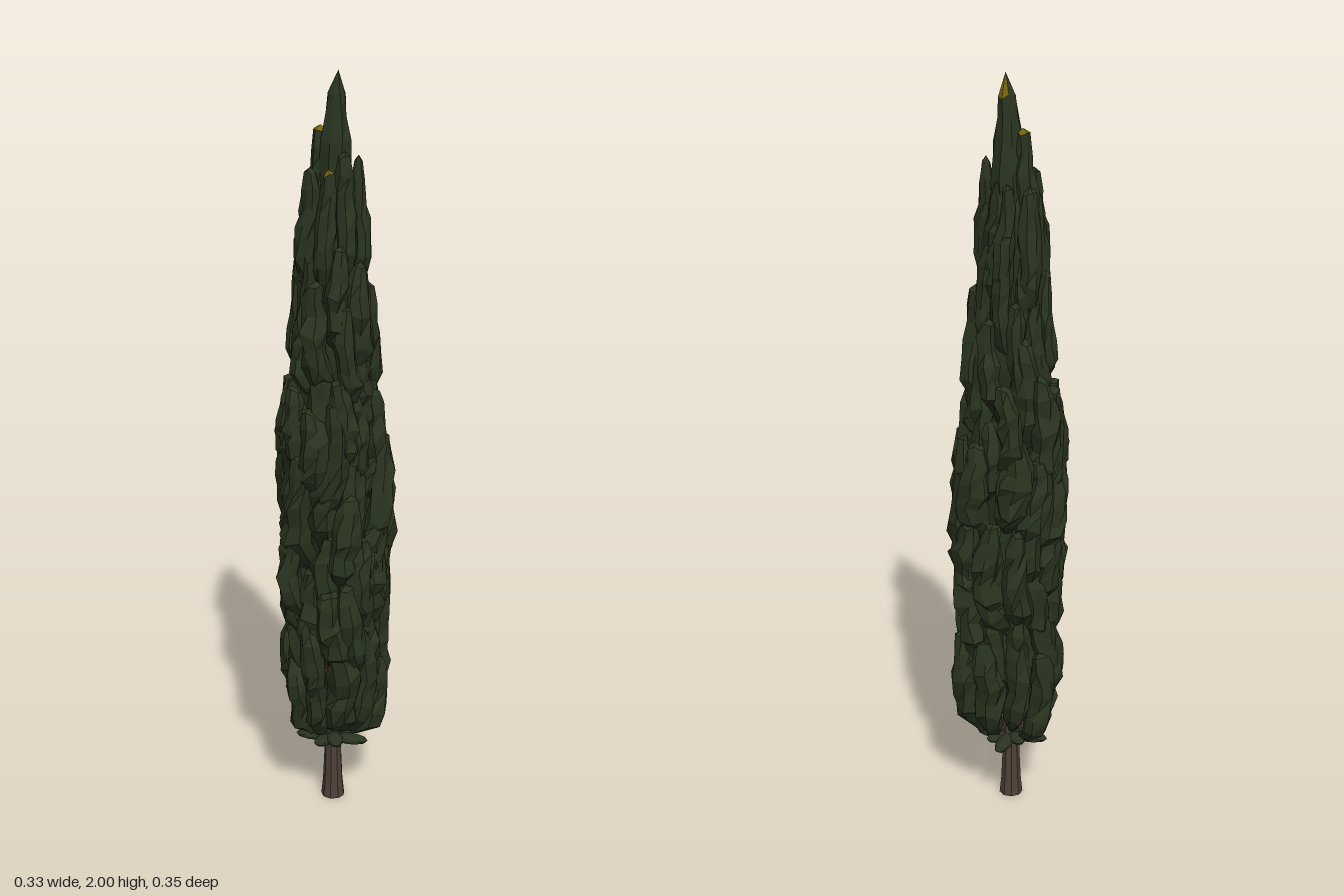
import * as THREE from 'three';
import { mergeGeometries } from 'three/addons/utils/BufferGeometryUtils.js';

// Small seeded generator
let seed = 7;
function rand(a = 0, b = 1) {
  seed = (seed * 16807) % 2147483647;
  return a + (b - a) * (seed / 2147483647);
}

// Crown outline: [height, radius]
const OUTLINE = [[0.18, 0.09], [0.24, 0.12], [0.3, 0.132], [0.4, 0.144], [0.7, 0.149], [0.9, 0.142],
  [1.2, 0.123], [1.4, 0.103], [1.55, 0.086], [1.7, 0.06], [1.8, 0.043], [1.88, 0.03], [2, 0.005]];
function crownRadius(y) {
  for (let i = 1; i < OUTLINE.length; i++) {
    const [y0, r0] = OUTLINE[i - 1], [y1, r1] = OUTLINE[i];
    if (y <= y1) return THREE.MathUtils.lerp(r0, r1, Math.max(0, (y - y0) / (y1 - y0)));
  }
  return 0.005;
}

// Faceted closed body through a list of [center, radius] rings, with pointed ends.
// Group 0 is the body, group 1 the last tipFacets facets at the tip.
function clump(rings, start, end, sides, jitter, tipFacets = sides) {
  const pos = [...start.toArray()], idx = [];
  for (const [c, r] of rings) {
    const twist = rand(0, 0.5);
    for (let j = 0; j < sides; j++) {
      const a = ((j + twist) / sides) * Math.PI * 2;
      const k = r * rand(1 - jitter, 1 + jitter);
      pos.push(c.x + Math.cos(a) * k, c.y + rand(-0.3, 0.3) * r, c.z + Math.sin(a) * k);
    }
  }
  pos.push(...end.toArray());
  const last = pos.length / 3 - 1;
  const at = (i, j) => 1 + i * sides + (j % sides);
  for (let j = 0; j < sides; j++) idx.push(0, at(0, j), at(0, j + 1));
  for (let i = 0; i < rings.length - 1; i++) {
    for (let j = 0; j < sides; j++) {
      idx.push(at(i, j), at(i + 1, j), at(i, j + 1), at(i, j + 1), at(i + 1, j), at(i + 1, j + 1));
    }
  }
  for (let j = 0; j < sides; j++) idx.push(at(rings.length - 1, j), last, at(rings.length - 1, j + 1));
  const g = new THREE.BufferGeometry();
  g.setAttribute('position', new THREE.Float32BufferAttribute(pos, 3));
  g.setIndex(idx);
  g.addGroup(0, idx.length - tipFacets * 3, 0);
  g.addGroup(idx.length - tipFacets * 3, tipFacets * 3, 1);
  g.computeVertexNormals();
  return g;
}

// Upright frond that swells, follows the crown outline and ends in a blunt tip
const WIDTHS = [0.5, 0.85, 1, 0.9, 1.02, 0.92, 0.8, 0.55];
function frond(angle, y0, length, r, push, inset = 0.5) {
  const point = (s) => {
    const y = y0 + s * length;
    const reach = crownRadius(Math.min(y, y0 + 0.7 * length)) - r * 0.9 + push;
    const d = Math.max(0.004, reach) * Math.min(1, inset + s * 1.5);
    const a = angle + 0.1 * Math.sin(s * 5 + y0 * 9);
    return new THREE.Vector3(Math.cos(a) * d, y, Math.sin(a) * d);
  };
  const rings = WIDTHS.map((w, i) => [point(0.04 + 0.92 * i / (WIDTHS.length - 1)), w * r]);
  return clump(rings, point(0), point(1), 7, 0.24);
}

export function createModel() {
  seed = 7;
  const tree = new THREE.Group();
  tree.name = 'cypressTree';
  const mat = (name, color) => {
    const m = new THREE.MeshStandardMaterial({ color, flatShading: true });
    m.name = name;
    return m;
  };
  const green = mat('darkGreenFoliage', 0x29341f);
  const bark = mat('brownBark', 0x4f4038);
  const gold = mat('goldenTips', 0x766409);
  const add = (name, geometry, material) => {
    const mesh = new THREE.Mesh(geometry, material);
    mesh.name = name;
    tree.add(mesh);
  };

  // Trunk, flared at the foot
  const profile = [[0, 0], [0.033, 0], [0.028, 0.05], [0.024, 0.14], [0.023, 0.24], [0.02, 0.5], [0, 0.5]];
  add('trunk', new THREE.LatheGeometry(profile.map(([r, y]) => new THREE.Vector2(r, y)), 9), bark);

  // Low branches that carry the first fronds
  const twigs = [];
  for (let i = 0; i < 5; i++) {
    const a = i * 1.26 + 0.5, c = Math.cos(a), s = Math.sin(a);
    const path = new THREE.CatmullRomCurve3([[0, 0.2], [0.05, 0.225], [0.1, 0.28]]
      .map(([d, y]) => new THREE.Vector3(c * d, y, s * d)));
    twigs.push(new THREE.TubeGeometry(path, 4, 0.006, 5));
  }
  add('lowerBranches', mergeGeometries(twigs), bark);

  // Flat sprigs under the crown
  const sprigs = [[0.03, 0.1], [1.2, 0.075], [2.1, 0.07], [3.1, 0.105], [4.0, 0.07], [4.75, 0.11], [5.5, 0.075]]
    .map(([a, reach]) => {
      const g = new THREE.IcosahedronGeometry(1, 1);
      g.scale(reach * 0.5, 0.014, 0.022);
      g.translate(reach * 0.5, 0.187 + rand(-0.005, 0.008), 0);
      g.rotateY(-a);
      return g;
    });
  add('lowSprigs', mergeGeometries(sprigs), green);

  // Inner foliage that closes the gaps between fronds
  const core = [];
  for (let y = 0.47; y < 1.7; y += 0.08) core.push([new THREE.Vector3(0, y, 0), crownRadius(y) * 0.66]);
  add('innerFoliage', clump(core, new THREE.Vector3(0, 0.42, 0), new THREE.Vector3(0, 1.8, 0), 12, 0.2), green);

  // Overlapping tiers of fronds, the lowest one standing clear of the trunk
  for (let tier = 0; tier < 10; tier++) {
    const y = 0.2 + tier * 0.135;
    const radius = crownRadius(y + 0.16);
    const count = Math.max(5, Math.round(radius * 2 * Math.PI / 0.088));
    const parts = [];
    for (let i = 0; i < count; i++) {
      const angle = (i + rand(-0.25, 0.25)) / count * Math.PI * 2 + tier * 2.4;
      const size = rand(0.032, 0.045) * (tier > 6 ? 0.8 : 1);
      const lift = tier ? rand(-0.06, 0.06) : rand(0, 0.04);
      parts.push(frond(angle, y + lift, rand(0.25, 0.36), size, rand(-0.016, 0.026), tier ? 0.5 : 0.75));
    }
    add('frondTier' + (tier + 1), mergeGeometries(parts), green);
  }

  // Slim fronds around the leader, two of them with golden tips
  add('upperFrondLeft', frond(0.1, 1.45, 0.35, 0.022, 0.024), green);
  add('upperFrondRight', frond(3.25, 1.53, 0.34, 0.03, 0.01), [green, gold]);
  add('upperFrondFront', frond(1.6, 1.43, 0.34, 0.026, 0.018), [green, gold]);
  add('upperFrondBack', frond(4.7, 1.42, 0.32, 0.025, 0), green);
  add('outerFrondRight', frond(3.1, 1.4, 0.32, 0.022, 0.014), green);
  add('lowerFrondRight', frond(3.3, 1.2, 0.33, 0.024, 0.018), green);

  // Leader spire, golden on the rear left side of its point
  const leader = [[1.55, 0.045], [1.66, 0.047], [1.75, 0.043], [1.83, 0.036], [1.89, 0.029], [1.945, 0.022]]
    .map(([y, r]) => [new THREE.Vector3(0.024 * (y - 1.5), y, 0), r]);
  const tip = new THREE.Vector3(0.014, 2, 0);
  add('leaderSpire', clump(leader, new THREE.Vector3(0, 1.5, 0), tip, 8, 0.15, 3), [green, gold]);

  return tree;
}
